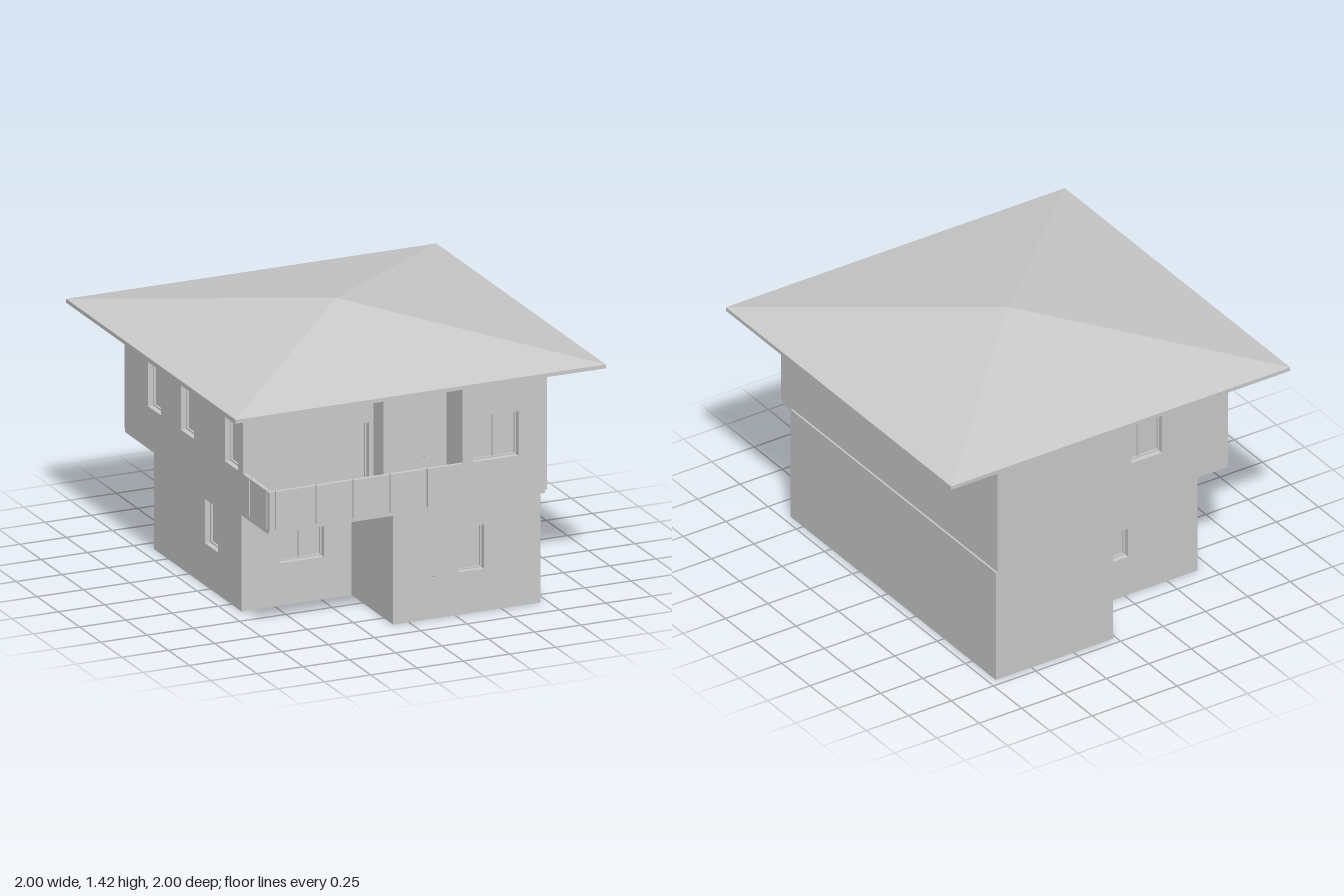
import * as THREE from 'three';

const plaster = new THREE.MeshStandardMaterial({ color: 0xcccccc });
plaster.name = 'plaster grey';

function add(parent, geometry, name, x = 0, y = 0, z = 0) {
  const mesh = new THREE.Mesh(geometry, plaster);
  mesh.name = name;
  mesh.position.set(x, y, z);
  parent.add(mesh);
  return mesh;
}

// Box given by its lower and upper corner
function box(parent, name, x0, y0, z0, x1, y1, z1) {
  return add(parent, new THREE.BoxGeometry(x1 - x0, y1 - y0, z1 - z0), name,
    (x0 + x1) / 2, (y0 + y1) / 2, (z0 + z1) / 2);
}

// Horizontal plate from an [x, z] outline
function plate(parent, name, outline, top, depth) {
  const shape = new THREE.Shape(outline.map(([x, z]) => new THREE.Vector2(x, z)));
  const geometry = new THREE.ExtrudeGeometry(shape, { depth, bevelEnabled: false });
  geometry.rotateX(Math.PI / 2);
  return add(parent, geometry, name, 0, top, 0);
}

const REVEAL = 0.04;

// One storey: a wall panel on each outline edge, with recessed openings [edge, u0, u1, v0, v1, panes]
function storey(name, outline, y0, y1, openings) {
  const group = new THREE.Group();
  group.name = name;
  outline.forEach(([ax, az], i) => {
    const [bx, bz] = outline[(i + 1) % outline.length];
    const length = Math.hypot(bx - ax, bz - az);
    const side = new THREE.Group();
    side.name = 'wallSide';
    side.position.set(ax, 0, az);
    side.rotation.y = Math.atan2(az - bz, bx - ax);
    group.add(side);

    const shape = new THREE.Shape([[0, y0], [length, y0], [length, y1], [0, y1]]
      .map(([u, v]) => new THREE.Vector2(u, v)));
    for (const [edge, u0, u1, v0, v1, panes] of openings) {
      if (edge !== i) continue;
      shape.holes.push(new THREE.Path([[u0, v0], [u0, v1], [u1, v1], [u1, v0]]
        .map(([u, v]) => new THREE.Vector2(u, v))));
      box(side, 'pane', u0 - 0.005, v0 - 0.005, -REVEAL - 0.01, u1 + 0.005, v1 + 0.005, -REVEAL + 0.002);
      // Slim frame around the pane, with a centre bar on wide windows
      const f = 0.008, z0 = -REVEAL, z1 = -REVEAL + 0.012;
      box(side, 'frame', u0, v0, z0, u0 + f, v1, z1);
      box(side, 'frame', u1 - f, v0, z0, u1, v1, z1);
      box(side, 'frame', u0 + f, v1 - f, z0, u1 - f, v1, z1);
      box(side, 'frame', u0 + f, v0, z0, u1 - f, v0 + f, z1);
      if (panes > 1) {
        const m = (u0 + u1) / 2;
        box(side, 'centreBar', m - 0.005, v0 + f, z0, m + 0.005, v1 - f, z1);
      }
    }
    add(side, new THREE.ExtrudeGeometry(shape, { depth: REVEAL, bevelEnabled: false }), 'wall', 0, 0, -REVEAL);
  });
  plate(group, 'floor', outline, y0 + 0.004, 0.004);
  plate(group, 'ceiling', outline, y1, 0.004);
  return group;
}

// Nearly flush door with a small knob
function flushDoor(parent, name, x0, x1, y0, y1, z) {
  const door = new THREE.Group();
  door.name = name;
  box(door, 'doorLeaf', x0, y0, z - 0.002, x1, y1, z + 0.002);
  add(door, new THREE.SphereGeometry(0.006, 10, 8), 'doorKnob', x1 - 0.02, (y0 + y1) / 2, z + 0.004);
  parent.add(door);
}

// Hollow hipped roof: fascia band, outer slopes and matching underside
function roof() {
  const group = new THREE.Group();
  group.name = 'roof';
  const rise = 0.176, points = [];
  const c = [[-1, 1], [1, 1], [1, -1], [-1, -1]];
  c.forEach(([ax, az], i) => {
    const [bx, bz] = c[(i + 1) % 4];
    points.push(ax, 1.24, az, bx, 1.24, bz, 0, 1.24 + rise, 0);
    points.push(bx, 1.22, bz, ax, 1.22, az, 0, 1.22 + rise, 0);
    points.push(ax, 1.22, az, bx, 1.22, bz, bx, 1.24, bz);
    points.push(ax, 1.22, az, bx, 1.24, bz, ax, 1.24, az);
  });
  const geometry = new THREE.BufferGeometry();
  geometry.setAttribute('position', new THREE.Float32BufferAttribute(points, 3));
  geometry.computeVertexNormals();
  add(group, geometry, 'hippedRoof');
  return group;
}

// Balcony parapet: panels separated by narrow slots, with set-back posts behind the slots
function balcony() {
  const group = new THREE.Group();
  group.name = 'balcony';
  const y0 = 0.62, y1 = 0.82, slot = 0.012, thick = 0.02;
  const slots = [-0.77, -0.55, -0.35, -0.15, 0.05];
  let start = -0.8;
  for (const x of [...slots, 0.245 + slot / 2]) {
    box(group, 'frontPanel', start, y0, 0.96 - thick, x - slot / 2, y1, 0.96);
    start = x + slot / 2;
  }
  for (const x of slots) box(group, 'post', x - 0.01, y0, 0.93, x + 0.01, y1 - 0.002, 0.948);
  box(group, 'sidePanel', -0.8, y0, 0.65, -0.78, y1, 0.72);
  box(group, 'sidePanel', -0.8, y0, 0.735, -0.78, y1, 0.925);
  box(group, 'sidePanel', -0.8, y0, 0.937, -0.78, y1, 0.942);
  box(group, 'sidePost', -0.788, y0, 0.715, -0.77, y1 - 0.002, 0.74);
  return group;
}

export function createModel() {
  const model = new THREE.Group();
  model.name = 'house';

  const lower = [[-0.68, 0.37], [-0.085, 0.37], [-0.085, 0.86], [0.71, 0.86],
    [0.71, -0.96], [0.02, -0.96], [0.02, -0.66], [-0.68, -0.66]];
  model.add(storey('groundFloor', lower, 0, 0.62, [
    [0, 0.205, 0.445, 0.22, 0.45, 2],
    [2, 0.355, 0.49, 0.22, 0.45, 1],
    [6, 0.14, 0.29, 0.22, 0.45, 1],
    [7, 0.60, 0.75, 0.22, 0.45, 1],
  ]));

  const upper = [[-0.8, 0.65], [-0.095, 0.65], [-0.095, 0.77], [0.245, 0.77], [0.245, 0.96],
    [0.7, 0.96], [0.7, -0.96], [-0.09, -0.96], [-0.09, -0.75], [-0.8, -0.75]];
  model.add(storey('upperFloor', upper, 0.62, 1.22, [
    [0, 0.41, 0.68, 0.63, 0.99, 1],
    [4, 0.055, 0.30, 0.82, 1.05, 2],
    [8, 0.08, 0.32, 0.82, 1.05, 2],
    [9, 0.28, 0.43, 0.82, 1.05, 1],
    [9, 0.67, 0.82, 0.82, 1.05, 1],
    [9, 1.19, 1.34, 0.82, 1.05, 1],
  ]));

  // Slab between the storeys, carrying the balcony
  plate(model, 'floorSlab', [[-0.8, 0.95], [0.695, 0.95], [0.695, -0.955],
    [-0.09, -0.955], [-0.09, -0.745], [-0.8, -0.745]], 0.621, 0.021);

  flushDoor(model, 'frontDoor', 0, 0.15, 0.03, 0.42, 0.86);
  flushDoor(model, 'balconyDoor', -0.04, 0.14, 0.63, 1.01, 0.77);
  model.add(balcony());
  model.add(roof());
  return model;
}
